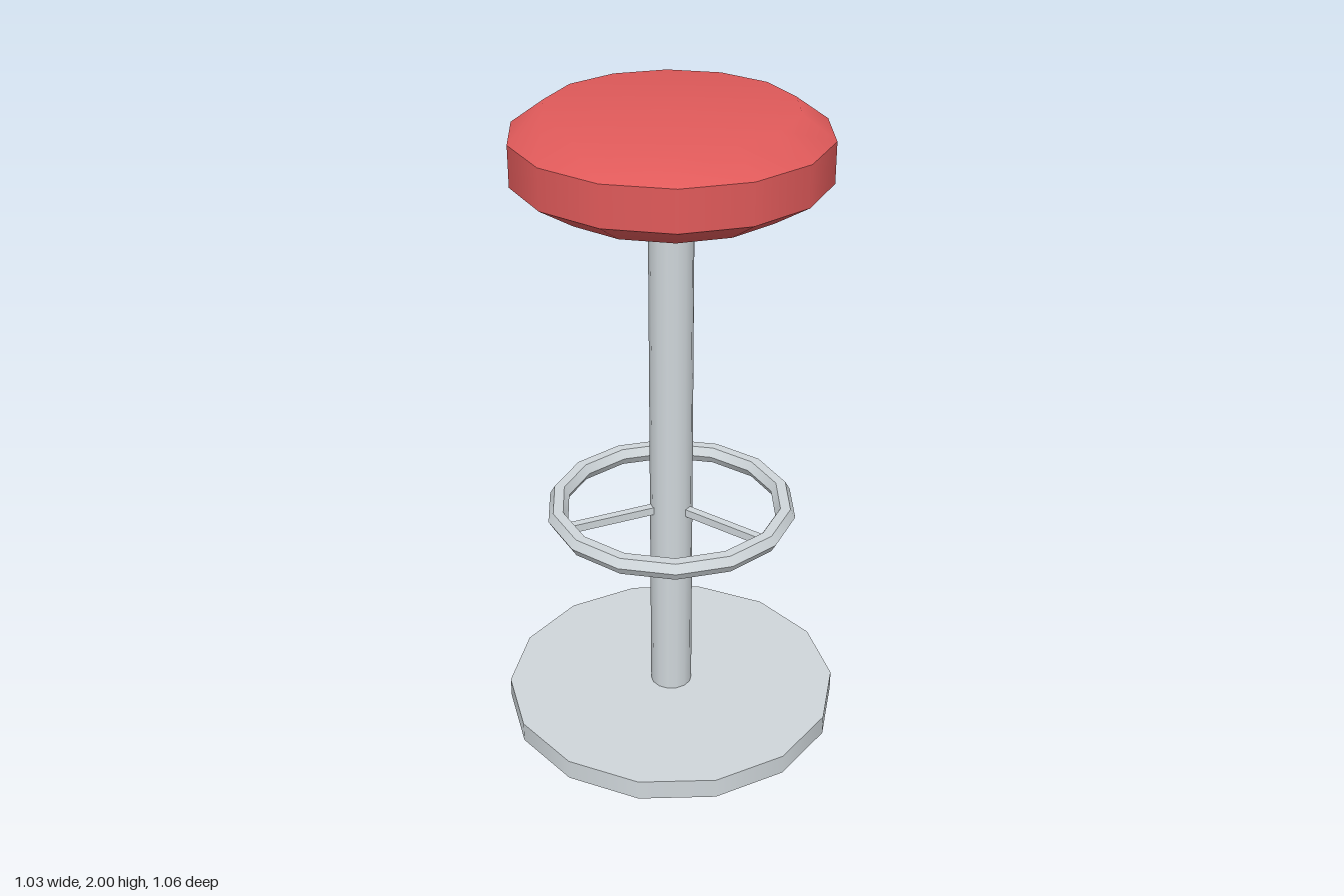
import * as THREE from 'three';
import { mergeGeometries } from 'three/addons/utils/BufferGeometryUtils.js';

const SIDES = 14;

// Turns each profile strip separately, so edges between strips stay sharp
// while every strip is smooth around its circumference.
function turned(strips, start = 0) {
  return mergeGeometries(strips.map((strip) => new THREE.LatheGeometry(
    strip.map(([r, y]) => new THREE.Vector2(r, y)), SIDES, start)));
}

export function createModel() {
  const model = new THREE.Group();
  model.name = 'barStool';

  const metal = new THREE.MeshStandardMaterial({ color: 0xcfd6da });
  metal.name = 'pale metal';
  const red = new THREE.MeshStandardMaterial({ color: 0xe05a5a });
  red.name = 'red upholstery';

  const add = (name, geometry, material, parent = model) => {
    const mesh = new THREE.Mesh(geometry, material);
    mesh.name = name;
    parent.add(mesh);
    return mesh;
  };

  // Floor plate
  add('base', new THREE.CylinderGeometry(0.53, 0.53, 0.065, SIDES), metal).position.y = 0.0325;

  // Central post
  add('post', new THREE.CylinderGeometry(0.066, 0.066, 1.7, SIDES), metal).position.y = 0.9;

  // Cushion: soft underside, straight side band, soft top
  add('seat', turned([
    [[0, 1.74], [0.345, 1.74], [0.457, 1.81]],
    [[0.457, 1.81], [0.457, 1.93]],
    [[0.457, 1.93], [0.36, 2], [0, 2]],
  ], Math.PI / 2), red);

  // Footrest: ring with a six-sided section, and three spokes
  const footrest = new THREE.Group();
  footrest.name = 'footrest';
  footrest.position.y = 0.728;
  model.add(footrest);

  const section = (i) => {
    const a = i * Math.PI / 3;
    return [0.357 + 0.031 * Math.cos(a), 0.031 * Math.sin(a)];
  };
  const strips = Array.from({ length: 6 }, (_, i) => [section(i), section(i + 1)]);
  add('footRing', turned(strips, Math.PI / 2), metal, footrest);

  for (let i = 0; i < 3; i++) {
    const spoke = new THREE.BoxGeometry(0.29, 0.025, 0.025).translate(0.2, 0, 0);
    add('spoke', spoke, metal, footrest).rotation.y = i * 2 * Math.PI / 3;
  }

  return model;
}
